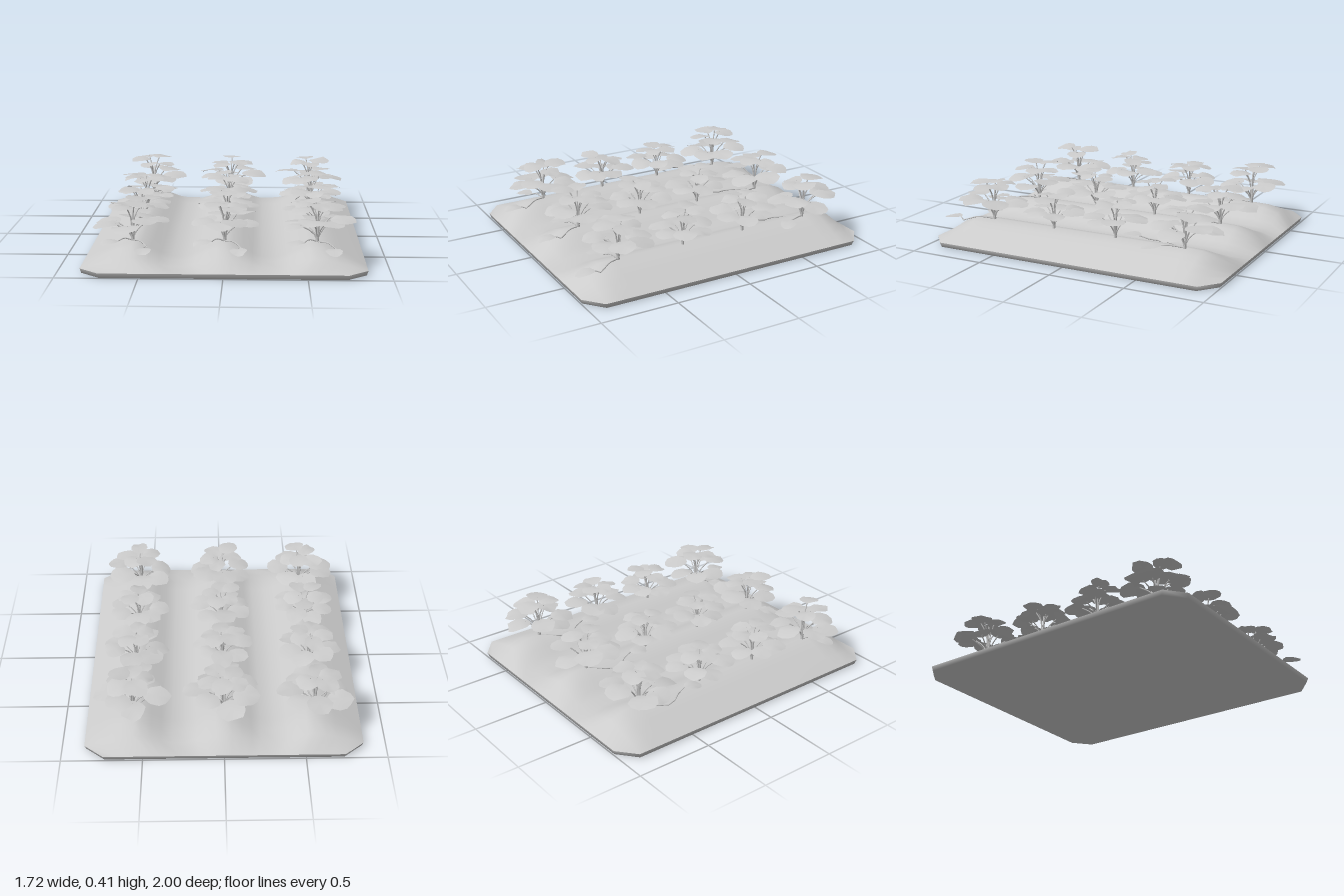
import * as THREE from 'three';
import { mergeGeometries } from 'three/addons/utils/BufferGeometryUtils.js';

// Small seeded generator, so every plant differs a little
let seed = 7;
const rand = (a = 0, b = 1) => {
  seed = (seed * 16807) % 2147483647;
  return a + (b - a) * (seed / 2147483647);
};

function buildGeometry(positions, indices) {
  const g = new THREE.BufferGeometry();
  g.setAttribute('position', new THREE.Float32BufferAttribute(positions, 3));
  g.setIndex(indices);
  g.computeVertexNormals();
  return g;
}

// Ridged soil: cross-section [x, y] swept along z, easing down at both ends
function soilTop() {
  const half = [[0, 0.145], [0.05, 0.135], [0.11, 0.112], [0.17, 0.08], [0.23, 0.058], [0.32, 0.055],
    [0.39, 0.08], [0.45, 0.112], [0.51, 0.137], [0.56, 0.145], [0.63, 0.129], [0.69, 0.105], [0.77, 0.07], [0.86, 0.03]];
  const profile = [...half.slice(1).reverse().map(([x, y]) => [-x, y]), ...half];
  // [z, width factor, height factor]
  const rows = [[-1, 0.86, 0], [-0.9, 1, 0.7], [-0.8, 1, 0.97], [-0.7, 1, 1], [0, 1, 1],
    [0.7, 1, 1], [0.8, 1, 0.97], [0.9, 1, 0.6], [1, 0.86, 0]];
  const pos = [], idx = [], n = profile.length;
  rows.forEach(([z, w, h], r) => {
    profile.forEach(([x, y], c) => {
      pos.push(x * w, 0.03 + (y - 0.03) * h, z);
      if (r && c) {
        const d = r * n + c, b = d - n;
        idx.push(b - 1, d - 1, d, b - 1, d, b);
      }
    });
  });
  return buildGeometry(pos, idx);
}

// Thin chamfered rim with a flat underside
function soilBase() {
  const corners = [[0.74, 1], [0.86, 0.9], [0.86, -0.9], [0.74, -1],
    [-0.74, -1], [-0.86, -0.9], [-0.86, 0.9], [-0.74, 1]];
  const pos = [0, 0, 0], idx = [];
  corners.forEach(([x, z], i) => {
    pos.push(x, 0.03, z, x * 0.99, 0, z * 0.99);
    const j = (i + 1) % 8;
    const t = 1 + i * 2, b = t + 1, t2 = 1 + j * 2, b2 = t2 + 1;
    idx.push(t, b, b2, t, b2, t2, 0, b2, b);
  });
  return buildGeometry(pos, idx);
}

// Broad rounded leaf starting at the origin and growing along +x
function leaf(length, width, droop) {
  const outline = [[0, 0.12], [0.14, 0.36], [0.42, 0.52], [0.72, 0.47], [0.93, 0.27], [1, 0],
    [0.95, -0.27], [0.74, -0.46], [0.42, -0.52], [0.14, -0.36], [0, -0.12]];
  const pos = [length * 0.45, 0.006, 0], idx = [];
  outline.forEach(([u, v], i) => {
    const k = rand(0.93, 1.06);
    pos.push(u * length * k, -droop * u * u + 0.012 * Math.abs(v) + rand(-0.004, 0.004), v * width * k);
    idx.push(0, i + 1, ((i + 1) % outline.length) + 1);
  });
  // outline runs from +z to -z, so this order faces up
  return buildGeometry(pos, idx);
}

function stem(points, radius = 0.004) {
  const curve = new THREE.CatmullRomCurve3(points.map(p => new THREE.Vector3(...p)));
  return new THREE.TubeGeometry(curve, 6, radius, 5);
}

// Two tiers of leaves on stems fanning out of one crown
function makePlant(scale, material) {
  const plant = new THREE.Group();
  plant.name = 'plant';
  const leaves = [], stems = [];
  const turn = rand(0, Math.PI * 2);
  const tiers = [
    { count: 7, start: 0.07, length: 0.15, width: 0.155, y: 0.125, droop: 0.018 },
    { count: 5, start: 0.022, length: 0.13, width: 0.125, y: 0.222, droop: 0.012 },
  ];
  tiers.forEach((t, k) => {
    for (let i = 0; i < t.count; i++) {
      const a = turn + k * 0.4 + (i + rand(-0.15, 0.15)) / t.count * Math.PI * 2;
      const y = t.y + rand(-0.022, 0.022);
      const r = t.start * rand(0.9, 1.15);
      const g = leaf(t.length * rand(0.88, 1.1), t.width * rand(0.9, 1.1), t.droop);
      g.rotateX(rand(-0.12, 0.12));
      g.rotateZ(rand(-0.06, 0.1));
      g.translate(r, y, 0);
      g.rotateY(-a);
      leaves.push(g);
      const at = (d, h) => [Math.cos(a) * d, h, Math.sin(a) * d];
      stems.push(stem([at(0.004, -0.01), at(0.008, 0.03), at(r * 0.55, y * 0.65), at(r + 0.03, y + 0.002)]));
    }
  });
  // Central stalk
  const crown = new THREE.CylinderGeometry(0.008, 0.011, 0.07, 7);
  crown.translate(0, 0.025, 0);
  stems.push(crown);
  const leafMesh = new THREE.Mesh(mergeGeometries(leaves), material);
  leafMesh.name = 'leaves';
  const stemMesh = new THREE.Mesh(mergeGeometries(stems), material);
  stemMesh.name = 'stems';
  plant.add(leafMesh, stemMesh);
  plant.scale.setScalar(scale);
  return plant;
}

// Creeping side shoot ending in a small leaf
function makeRunner(path, heading, material) {
  const runner = new THREE.Group();
  runner.name = 'runner';
  const shoot = new THREE.Mesh(stem(path), material);
  shoot.name = 'runnerStem';
  const blade = new THREE.Mesh(leaf(0.12, 0.1, 0.012), material);
  blade.name = 'runnerLeaf';
  blade.position.set(...path[path.length - 1]);
  blade.rotation.y = heading;
  runner.add(shoot, blade);
  return runner;
}

export function createModel() {
  seed = 7;
  const model = new THREE.Group();
  model.name = 'gardenBed';
  const grey = new THREE.MeshStandardMaterial({ color: 0xcccccc, side: THREE.DoubleSide });
  grey.name = 'pale grey';

  // Soil bed
  const soil = new THREE.Group();
  soil.name = 'soil';
  const top = new THREE.Mesh(soilTop(), grey);
  top.name = 'soilRidges';
  const base = new THREE.Mesh(soilBase(), grey);
  base.name = 'soilBase';
  soil.add(top, base);
  model.add(soil);

  // Three ridges of four plants
  const rows = [[-0.69, 1.06], [-0.22, 0.94], [0.22, 0.94], [0.67, 1.03]];
  for (const x of [-0.565, 0, 0.565]) {
    for (const [z, scale] of rows) {
      const plant = makePlant(scale, grey);
      plant.position.set(x, 0.145, z);
      model.add(plant);
    }
    // Side shoots at the front and back plants
    model.add(
      makeRunner([[x, 0.145, 0.67], [x + 0.06, 0.162, 0.76], [x + 0.11, 0.14, 0.85], [x + 0.09, 0.152, 0.87]], -1.6, grey),
      makeRunner([[x, 0.145, 0.67], [x - 0.05, 0.165, 0.7], [x - 0.08, 0.155, 0.73]], -2.7, grey),
      makeRunner([[x, 0.145, -0.69], [x - 0.1, 0.13, -0.52], [x - 0.05, 0.15, -0.42], [x - 0.04, 0.165, -0.37]], -1.8, grey),
      makeRunner([[x, 0.145, -0.69], [x + 0.05, 0.165, -0.61], [x + 0.06, 0.158, -0.56]], -0.9, grey),
    );
  }
  return model;
}
